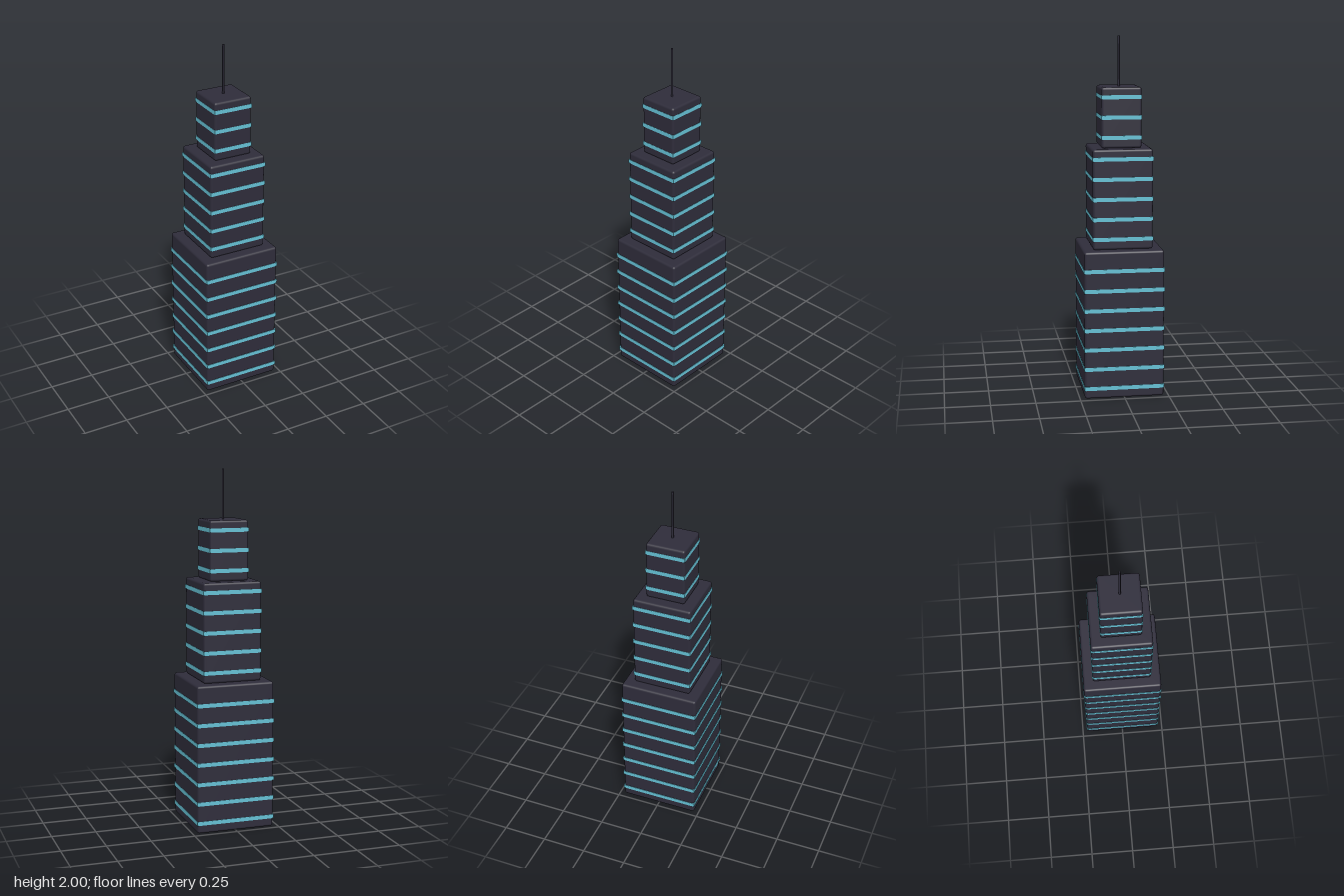
import * as THREE from 'three';
import { RoundedBoxGeometry } from 'three/addons/geometries/RoundedBoxGeometry.js';

export function createModel() {
  const wall = new THREE.MeshStandardMaterial({ color: 0x2e2c3a });
  wall.name = 'dark wall';
  const glow = new THREE.MeshStandardMaterial({ color: 0x64bfd3 });
  glow.name = 'window teal';

  const tower = new THREE.Group();
  tower.name = 'tower';
  const add = (name, geometry, material, y, parent) => {
    const mesh = new THREE.Mesh(geometry, material);
    mesh.name = name;
    mesh.position.y = y;
    parent.add(mesh);
  };

  const floor = 0.1113; // storey height
  const tiers = [
    { name: 'lowerTier', width: 0.4452, floors: 7.5, bands: 7 },
    { name: 'middleTier', width: 0.334, floors: 5, bands: 5 },
    { name: 'upperTier', width: 0.2226, floors: 3, bands: 3 },
  ];

  // Stacked tiers, each ringed by a window band per storey
  let base = 0;
  for (const { name, width, floors, bands } of tiers) {
    const tier = new THREE.Group();
    tier.name = name;
    tier.position.y = base;
    const height = floors * floor;
    add('block', new RoundedBoxGeometry(width, height, width, 2, 0.013), wall, height / 2, tier);
    const bandGeometry = new THREE.BoxGeometry(width * 1.011, 0.0223, width * 1.011);
    for (let i = 0; i < bands; i++) add('windowBand', bandGeometry, glow, (i + 0.52) * floor, tier);
    tower.add(tier);
    base += height;
  }

  // Thin roof mast
  const mast = 2 - base;
  add('antenna', new THREE.CylinderGeometry(0.0062, 0.0062, mast, 6), wall, base + mast / 2, tower);

  return tower;
}
